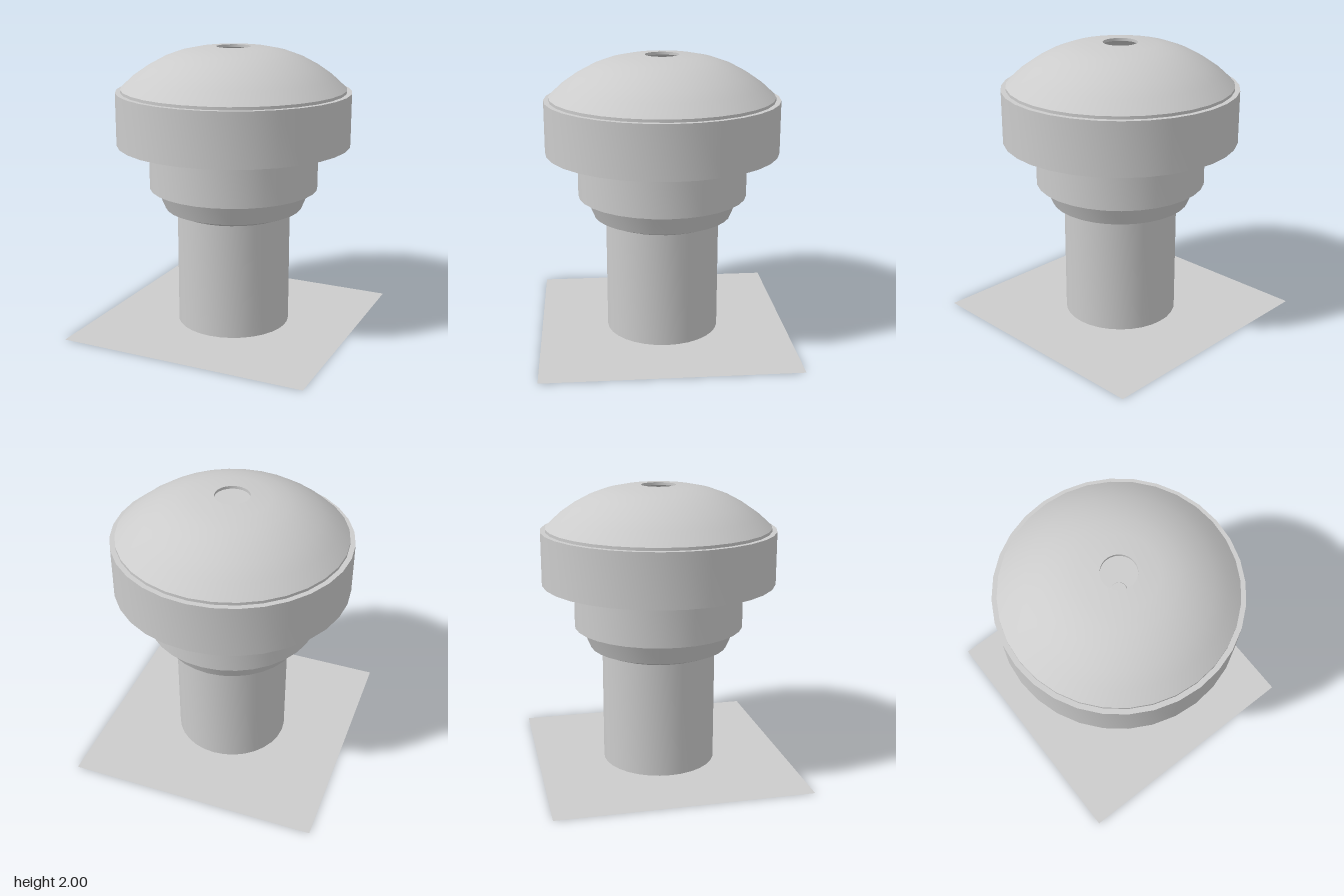
import * as THREE from 'three';
import { toCreasedNormals } from 'three/addons/utils/BufferGeometryUtils.js';

const SIDES = 32;
const material = new THREE.MeshStandardMaterial({ color: 0xcccccc, side: THREE.DoubleSide });

// Turned part from [radius, height] points, sharp where the profile bends strongly
function turned(name, profile) {
  const points = profile.map(([r, y]) => new THREE.Vector2(r, y));
  const geometry = toCreasedNormals(new THREE.LatheGeometry(points, SIDES), 0.45);
  const mesh = new THREE.Mesh(geometry, material);
  mesh.name = name;
  return mesh;
}

export function createModel() {
  const group = new THREE.Group();
  group.name = 'roofVent';

  // Thin square flashing on the ground
  const base = new THREE.Mesh(new THREE.PlaneGeometry(1.78, 1.78), material);
  base.name = 'basePlate';
  base.rotation.x = -Math.PI / 2;
  group.add(base);

  // Upright pipe
  group.add(turned('pipe', [[0.405, 0], [0.405, 0.83]]));

  // Flared funnel under the collar
  group.add(turned('funnel', [[0.405, 0.825], [0.49, 0.86], [0.55, 1.005]]));

  // Collar with a narrow neck carrying the hood
  group.add(turned('collar', [[0.54, 1.005], [0.6, 1.005], [0.6, 1.305], [0.49, 1.305]]));
  group.add(turned('neck', [[0.49, 1.3], [0.49, 1.33]]));

  // Wide hood drum
  group.add(turned('hood', [[0.48, 1.325], [0.825, 1.325], [0.825, 1.695], [0, 1.695]]));

  // Dome shell with a round opening at the crown and a hollow inside
  group.add(turned('dome', [
    [0.79, 1.695], [0.79, 1.715], [0.7, 1.797], [0.6, 1.866], [0.49, 1.925],
    [0.38, 1.965], [0.26, 1.99], [0.12, 2], [0.12, 1.98],
    [0.26, 1.97], [0.38, 1.945], [0.49, 1.905], [0.6, 1.846], [0.7, 1.777], [0.77, 1.697],
  ]));

  // Small spindle seen through the opening
  group.add(turned('spindle', [[0.055, 1.695], [0.055, 1.71], [0.05, 1.715], [0, 1.715]]));

  return group;
}
